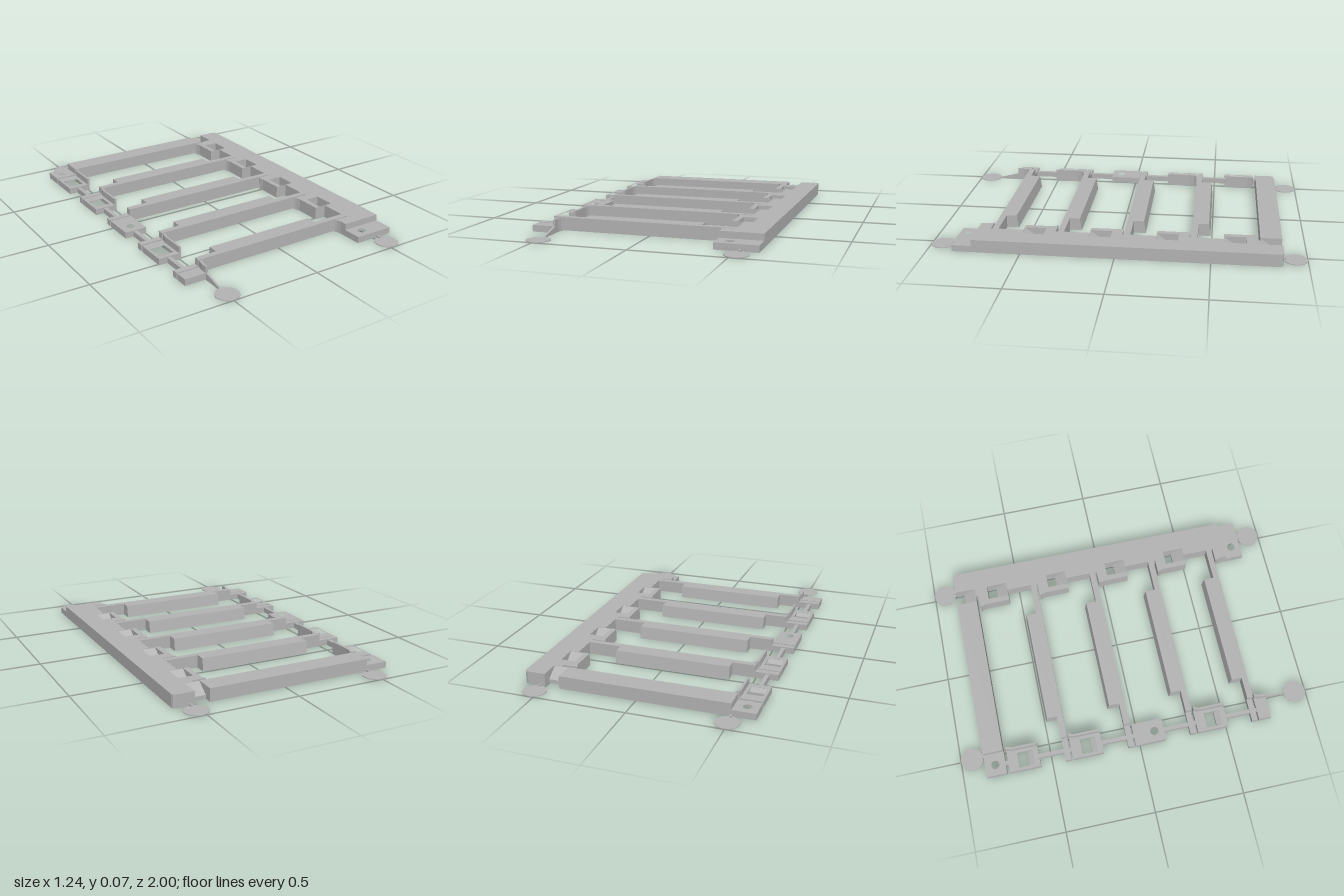
import * as THREE from 'three';

const grey = new THREE.MeshStandardMaterial({ color: 0xb2b2b2 });
grey.name = 'plain grey';
const TALL = 0.07, LOW = 0.035;

export function createModel() {
  const group = new THREE.Group();

  const add = (name, geometry) => {
    const mesh = new THREE.Mesh(geometry, grey);
    mesh.name = name;
    group.add(mesh);
    return mesh;
  };
  const rect = (x0, x1, z0, z1) => [[x0, z0], [x1, z0], [x1, z1], [x0, z1]];
  const circle = (x, z, r) => Array.from({ length: 24 }, (_, i) => {
    const a = i / 24 * Math.PI * 2;
    return [x + r * Math.cos(a), z + r * Math.sin(a)];
  });
  const toVectors = pts => pts.map(([x, z]) => new THREE.Vector2(x, -z));

  // Flat plate standing on the ground, outlined in x and z
  const plate = (name, outline, height, holes = []) => {
    const shape = new THREE.Shape(toVectors(outline));
    holes.forEach(h => shape.holes.push(new THREE.Path(toVectors(h))));
    const geo = new THREE.ExtrudeGeometry(shape, { depth: height, bevelEnabled: false });
    return add(name, geo.rotateX(-Math.PI / 2));
  };
  // Prism along x with its section given in z and y
  const prism = (name, section, x0, x1) => {
    const shape = new THREE.Shape(section.map(([z, y]) => new THREE.Vector2(-z, y)));
    const geo = new THREE.ExtrudeGeometry(shape, { depth: x1 - x0, bevelEnabled: false });
    geo.rotateY(Math.PI / 2).translate(x0, 0, 0);
    return add(name, geo);
  };

  const pads = [-0.74, -0.383, -0.025, 0.335];
  const PAD = 0.175;

  // Tall side rail with inward pads and windows
  const inner = [[0.5, -0.87], [0.5, -0.755], [0.455, -0.755]];
  const windows = [];
  pads.forEach((z, i) => {
    const flare = i === 2 ? 0.39 : 0.377;
    inner.push([0.455, z], [flare, z], [0.384, z + 0.012], [0.39, z + 0.035],
      [0.39, z + PAD], [0.455, z + PAD]);
    windows.push(rect(0.42, 0.5, z + 0.058, z + PAD - 0.001));
    prism('railRamp', [[z + 0.11, 0], [z + PAD - 0.001, 0], [z + PAD - 0.001, TALL - 0.002],
      [z + 0.11, 0.02]], 0.42, 0.5);
  });
  inner.push([0.455, 0.69], [0.377, 0.69], [0.384, 0.702], [0.39, 0.725], [0.39, 0.76]);
  plate('sideRail', [...inner, [0.615, 0.76], [0.615, -0.852], [0.61, -0.865], [0.597, -0.87]],
    TALL, windows);
  plate('railEndStep', rect(0.39, 0.615, 0.76, 0.865), LOW, [circle(0.46, 0.812, 0.023)]);

  // Wide end tie, its ramped link to the rail and its low corner
  plate('endTie', rect(-0.495, 0.42, -0.87, -0.755), TALL);
  prism('endRamp', [[-0.825, 0], [-0.755, 0], [-0.755, TALL - 0.002], [-0.825, 0.02]], 0.42, 0.5);
  plate('cornerPad', rect(-0.62, -0.495, -0.87, -0.755), LOW, [circle(-0.56, -0.812, 0.023)]);

  // Cross ties: narrow bar with a wider middle and a low outer end
  for (const front of [-0.392, -0.035, 0.323, 0.682]) {
    const back = front - 0.033;
    plate('tieBar', rect(-0.495, 0.457, back, front), TALL);
    plate('tieLowEnd', rect(-0.62, -0.495, back, front), LOW);
    prism('tieMiddle', [[front - 0.1, 0], [back, 0], [back, TALL], [front - 0.09, TALL]],
      -0.37, 0.27);
  }

  // Thin flared wall along the inner edge of a low pad
  const wall = (z0, z1) => plate('padWall', [[-0.502, z0 + 0.03], [-0.495, z0],
    [-0.477, z0], [-0.484, z0 + 0.012], [-0.49, z0 + 0.035], [-0.49, z1], [-0.502, z1]], TALL);

  // Low pads on the narrow side
  pads.forEach((z, i) => {
    const end = z + PAD;
    if (i === 2) {
      plate('drilledPad', rect(-0.62, -0.495, z, end), LOW, [circle(-0.56, 0.095, 0.023)]);
      return;
    }
    plate('windowPad', rect(-0.62, -0.495, z, end), LOW,
      [rect(-0.605, -0.52, z + 0.056, z + 0.145)]);
    prism('padRamp', [[z + 0.114, 0], [z + 0.145, 0], [z + 0.145, LOW - 0.002],
      [z + 0.114, 0.018]], -0.605, -0.52);
    wall(z, end);
  });
  plate('endPad', rect(-0.62, -0.495, 0.69, 0.76), LOW);
  wall(0.69, 0.76);

  // Narrow spine links joining the low pads and tie ends
  const stops = [-0.755, ...pads.flatMap((z, i) => [z, z + PAD, z + 0.315, z + 0.348]), 0.69];
  for (let i = 0; i < stops.length; i += 2) {
    plate('spineLink', rect(-0.572, -0.55, stops[i], stops[i + 1]), 0.03);
  }

  // Thin round feet with short stems
  for (const x of [-0.495, 0.525]) {
    for (const z of [-0.9375, 0.9375]) {
      const disc = add('footDisc', new THREE.CylinderGeometry(0.0625, 0.0625, 0.004, 40));
      disc.position.set(x, 0.002, z);
    }
    plate('backStem', rect(x - 0.006, x + 0.006, -0.89, -0.868), 0.012);
  }
  prism('frontStem', [[0.76, 0], [0.885, 0], [0.885, 0.004], [0.76, LOW]], -0.5, -0.489);
  plate('railStem', rect(0.519, 0.531, 0.864, 0.89), 0.012);

  return group;
}
